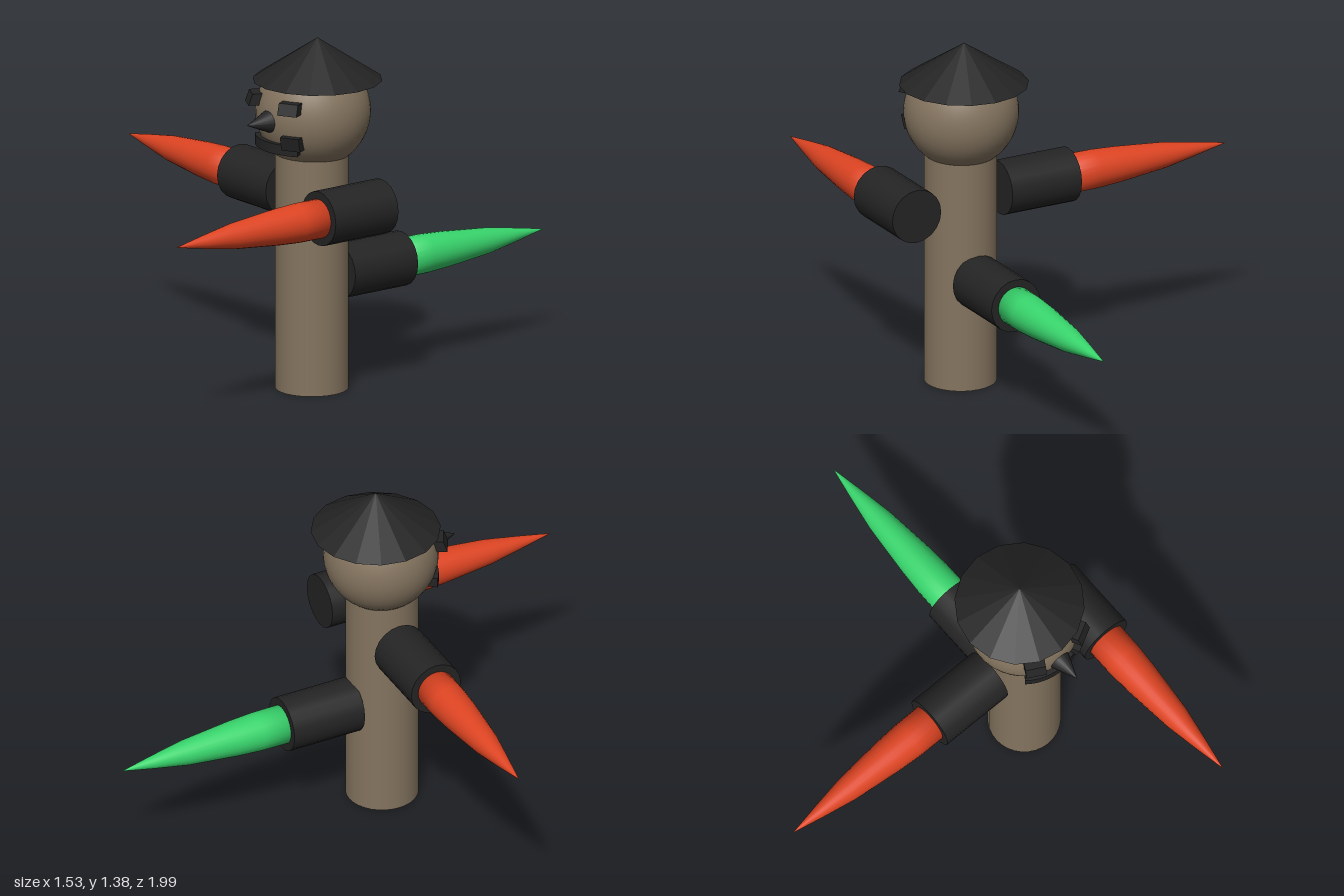
import * as THREE from 'three';

const material = (name, color) => new THREE.MeshStandardMaterial({ name, color });

export function createModel() {
  const brown = material('wood brown', 0x84745f);
  const black = material('charcoal black', 0x242424);
  const red = material('spike red', 0xdd4422);
  const green = material('spike green', 0x38d46c);

  const model = new THREE.Group();
  model.name = 'postFigure';
  const add = (name, geometry, mat, x, y, z, parent = model) => {
    const mesh = new THREE.Mesh(geometry, mat);
    mesh.name = name;
    mesh.position.set(x, y, z);
    parent.add(mesh);
    return mesh;
  };

  // Post and head
  add('post', new THREE.CylinderGeometry(0.141, 0.141, 0.96, 32), brown, 0.393, 0.48, 0.13);
  add('head', new THREE.SphereGeometry(0.222, 40, 28), brown, 0.393, 1.1, 0.125);

  // Faceted pointed hat
  const hat = new THREE.ConeGeometry(0.25, 0.165, 16).toNonIndexed();
  hat.computeVertexNormals();
  add('hat', hat, black, 0.393, 1.302, 0.103);

  // Nose cone
  add('nose', new THREE.ConeGeometry(0.053, 0.125, 16).rotateX(Math.PI / 2), black, 0.392, 1.09, 0.382);

  // Face blocks: level tops, fronts slanted to follow the head
  const faceBlock = (name, x, y, z, w, h, slant, yaw) => {
    const g = new THREE.BoxGeometry(w, h, 0.05);
    const p = g.attributes.position;
    for (let i = 0; i < p.count; i++) p.setZ(i, p.getZ(i) + slant * p.getY(i));
    g.computeVertexNormals();
    add(name, g, black, x, y, z).rotation.y = yaw;
  };
  for (const s of [-1, 1]) {
    faceBlock(s < 0 ? 'rightEye' : 'leftEye', 0.393 + s * 0.109, 1.16, 0.32, 0.08, 0.045, -0.36, s * 0.49);
  }
  faceBlock('mouthCorner', 0.5, 1.02, 0.307, 0.078, 0.055, 0.28, 0.49);

  // Mouth: curved band around the front of the head
  const arc = new THREE.Shape();
  const from = -Math.PI / 2 - 0.68, to = -Math.PI / 2 + 0.64;
  arc.absarc(0, 0, 0.222, from, to, false);
  arc.absarc(0, 0, 0.15, to, from, true);
  const band = new THREE.ExtrudeGeometry(arc, { depth: 0.04, bevelEnabled: false, curveSegments: 10 });
  band.rotateX(-Math.PI / 2);
  add('mouth', band, black, 0.393, 0.97, 0.125);

  // Spiked arms, built along +y and turned outward
  const profile = [[0, -0.02], [0.077, -0.02], [0.076, 0.11], [0.07, 0.21], [0.05, 0.417], [0.026, 0.555], [0, 0.692]]
    .map(([r, y]) => new THREE.Vector2(r, y));
  const spike = new THREE.LatheGeometry(profile, 24);
  const collar = new THREE.CylinderGeometry(0.107, 0.107, 0.304, 20);
  const addArm = (name, mat, position, direction) => {
    const arm = new THREE.Group();
    arm.name = name;
    arm.position.set(...position);
    arm.quaternion.setFromUnitVectors(new THREE.Vector3(0, 1, 0), new THREE.Vector3(...direction));
    add('collar', collar, black, 0, -0.152, 0, arm);
    add('spike', spike, mat, 0, 0, 0, arm);
    model.add(arm);
  };
  addArm('rightArm', red, [-0.075, 0.755, 0.12], [-1, 0, 0]);
  addArm('leftArm', red, [0.658, 0.755, 0.303], [0, 0, 1]);
  addArm('backSpike', green, [0.392, 0.44, -0.303], [0, 0, -1]);

  return model;
}
